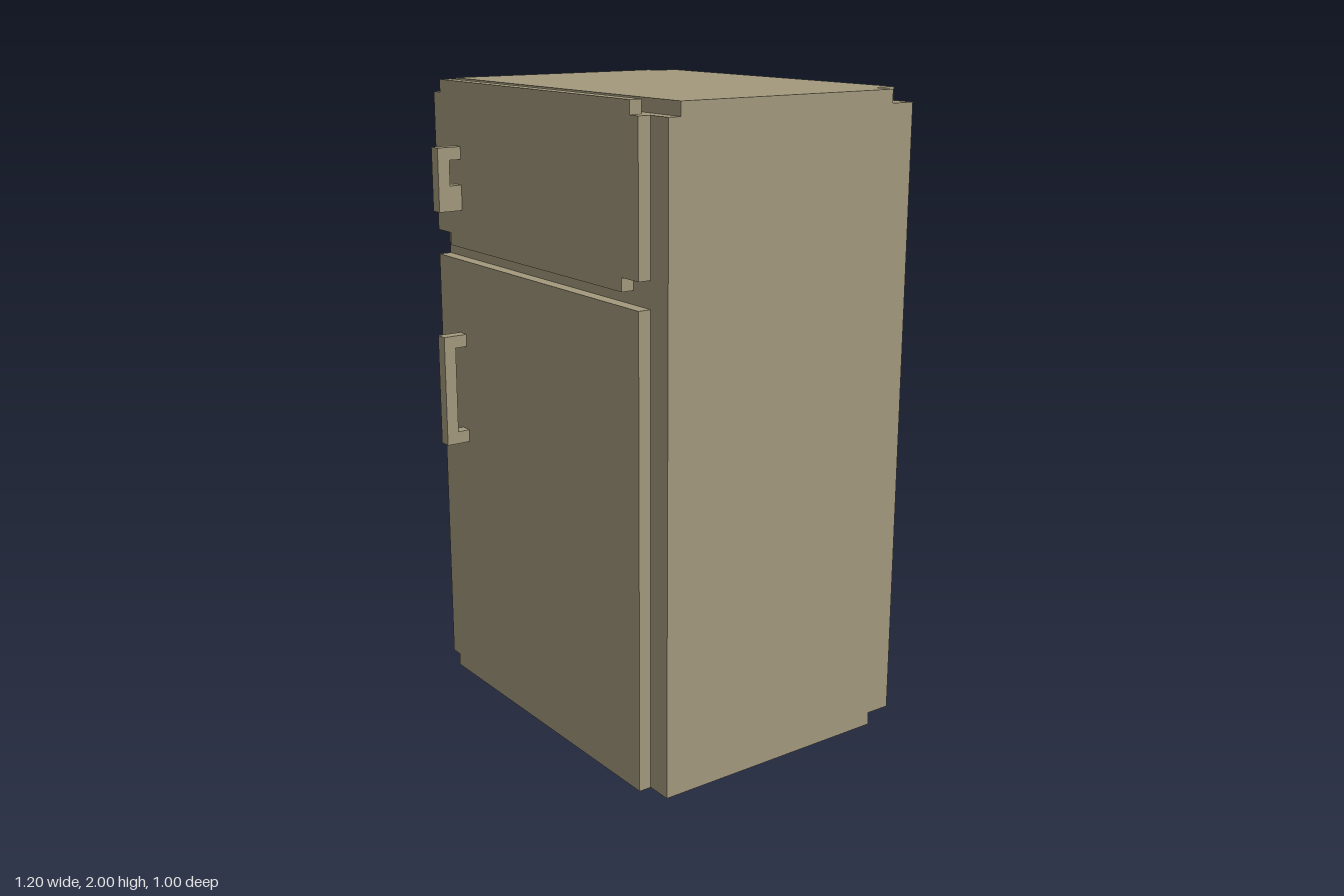
import * as THREE from 'three';

const DOOR_Z = 0.38, DOOR_DEPTH = 0.04, STEP = 0.04;

// Solid prism from an outline in the xy plane, extruded along +z
function prism(points, depth) {
  const shape = new THREE.Shape(points.map(([x, y]) => new THREE.Vector2(x, y)));
  return new THREE.ExtrudeGeometry(shape, { depth, bevelEnabled: false });
}

// Horizontal layer: outline given as [x, z], standing from y0 to y1
function layer(points, y0, y1) {
  const g = prism(points.map(([x, z]) => [x, -z]), y1 - y0);
  return g.rotateX(-Math.PI / 2).translate(0, y0, 0);
}

// Cabinet outline with both rear corners cut out
function notchedOutline(front) {
  return [
    [-0.6, front], [0.6, front], [0.6, -0.42], [0.52, -0.42],
    [0.52, -0.5], [-0.56, -0.5], [-0.56, -0.42], [-0.6, -0.42],
  ];
}

export function createModel() {
  const model = new THREE.Group();
  model.name = 'refrigerator';
  const enamel = new THREE.MeshStandardMaterial({ color: 0xa3997d });
  enamel.name = 'beige enamel';

  const add = (name, geometry, parent = model) => {
    const mesh = new THREE.Mesh(geometry, enamel);
    mesh.name = name;
    parent.add(mesh);
    return mesh;
  };

  // Cabinet: main block between notched base and top layers
  const cabinet = new THREE.Group();
  cabinet.name = 'cabinet';
  model.add(cabinet);
  add('base', layer(notchedOutline(DOOR_Z), 0, STEP), cabinet);
  add('mainBody', layer([[-0.6, 0.38], [0.6, 0.38], [0.6, -0.5], [-0.6, -0.5]], STEP, 2 - STEP), cabinet);
  add('topPanel', layer(notchedOutline(0.34), 2 - STEP, 2), cabinet);

  // Doors: stepped slabs on the cabinet front
  add('freezerDoor', prism([
    [-0.52, 1.48], [0.44, 1.48], [0.44, 1.52], [0.52, 1.52], [0.52, 1.96], [0.48, 1.96],
    [0.48, 2], [-0.56, 2], [-0.56, 1.96], [-0.6, 1.96], [-0.6, 1.52], [-0.52, 1.52],
  ], DOOR_DEPTH).translate(0, 0, DOOR_Z));
  add('fridgeDoor', prism([
    [-0.56, 0], [0.52, 0], [0.52, 1.44], [-0.6, 1.44], [-0.6, 0.04], [-0.56, 0.04],
  ], DOOR_DEPTH).translate(0, 0, DOOR_Z));

  // Handles: C-shaped side profile as [z, y], extruded across x
  const addHandle = (name, bottom, top, lowerPost) => {
    const inner = bottom + lowerPost, upper = top - 0.04;
    add(name, prism([
      [0.42, bottom], [0.5, bottom], [0.5, top], [0.42, top],
      [0.42, upper], [0.46, upper], [0.46, inner], [0.42, inner],
    ], 0.04).rotateY(-Math.PI / 2).translate(-0.44, 0, 0));
  };
  addHandle('freezerHandle', 1.6, 1.8, 0.08);
  addHandle('fridgeHandle', 0.84, 1.2, 0.04);

  return model;
}
